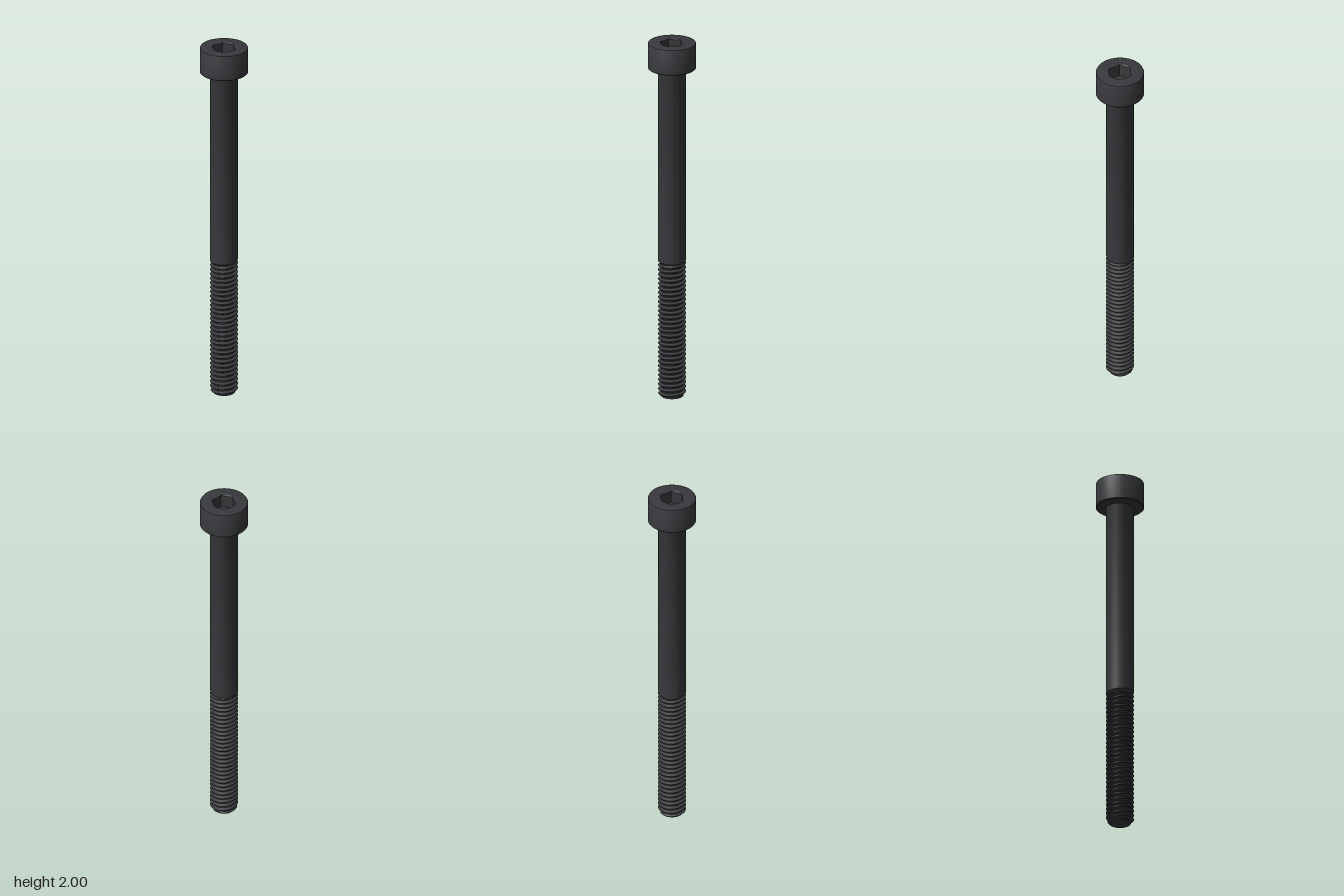
import * as THREE from 'three';
import { toCreasedNormals } from 'three/addons/utils/BufferGeometryUtils.js';

const SEG = 96;
const R = 0.074;            // shank and thread crest radius
const ROOT = 0.058;         // thread root radius
const PITCH = 0.0259;
const THREAD_TOP = 0.77;
const HEAD_R = 0.129;
const HEAD_Y = 1.855;
const HEX = 0.057;          // half the width across the flats
const SINK = 0.0665;        // countersink radius
const FLOOR = 1.925;        // bottom of the hex socket

const steel = new THREE.MeshStandardMaterial({ color: 0x37393c });

// Closed skin round the y axis; at(row, angle) returns [radius, y].
function skin(rows, at) {
  const pos = [], idx = [];
  for (let j = 0; j < rows; j++) {
    for (let i = 0; i <= SEG; i++) {
      const a = (i / SEG) * Math.PI * 2;
      const [r, y] = at(j, a);
      pos.push(r * Math.sin(a), y, r * Math.cos(a));
      if (j < rows - 1 && i < SEG) {
        const p = j * (SEG + 1) + i, q = p + SEG + 1;
        idx.push(p, p + 1, q + 1, p, q + 1, q);
      }
    }
  }
  const g = new THREE.BufferGeometry();
  g.setAttribute('position', new THREE.Float32BufferAttribute(pos, 3));
  g.setIndex(idx);
  return g;
}

function lathe(points) {
  return new THREE.LatheGeometry(points.map(([x, y]) => new THREE.Vector2(x, y)), SEG);
}

// Thread: rows follow the helix through root, flank and crest corners.
function threadGeometry() {
  const corners = [0, 0.25, 0.5625, 0.6875];
  const turns = Math.ceil(THREAD_TOP / PITCH) + 2;
  return skin(turns * corners.length, (j, a) => {
    const turn = a / (Math.PI * 2);
    const raw = (Math.floor(j / 4) - 1 + corners[j % 4] + turn) * PITCH;
    const y = THREE.MathUtils.clamp(raw, 0, THREAD_TOP);
    const u = THREE.MathUtils.euclideanModulo(y / PITCH - turn, 1);
    const rise = Math.min((u - 0.25) / 0.3125, (1 - u) / 0.3125);
    const cut = 1 - THREE.MathUtils.clamp(rise, 0, 1);
    // the groove runs out at the shank, and the tip is chamfered
    const fade = Math.min(1, (THREAD_TOP - y) / PITCH);
    return [Math.min(R - (R - ROOT) * cut * fade, ROOT + y), y];
  });
}

// Socket: countersink cut by the hexagon, then walls and floor.
function socketGeometry() {
  const third = Math.PI / 3;
  return skin(4, (j, a) => {
    const off = THREE.MathUtils.euclideanModulo(a + third / 2, third) - third / 2;
    const r = HEX / Math.cos(off);
    return [
      [SINK, 2],
      [r, 2 - (SINK - r) * 0.6],
      [r, FLOOR],
      [0, FLOOR],
    ][j];
  });
}

export function createModel() {
  const screw = new THREE.Group();
  screw.name = 'socketHeadScrew';
  const add = (name, geometry) => {
    const mesh = new THREE.Mesh(toCreasedNormals(geometry, 0.5), steel);
    mesh.name = name;
    screw.add(mesh);
  };

  add('tipFace', lathe([[0, 0], [ROOT, 0]]));
  add('thread', threadGeometry());

  // plain shank with a small fillet under the head
  add('shank', lathe([
    [R, THREAD_TOP], [R, HEAD_Y - 0.008], [R + 0.002, HEAD_Y - 0.003], [R + 0.007, HEAD_Y],
  ]));

  // head with eased lower and upper rims
  add('head', lathe([
    [R, HEAD_Y], [HEAD_R - 0.005, HEAD_Y], [HEAD_R, HEAD_Y + 0.005],
    [HEAD_R, 1.993], [HEAD_R - 0.002, 1.998], [HEAD_R - 0.007, 2], [SINK, 2],
  ]));

  add('hexSocket', socketGeometry());
  return screw;
}
